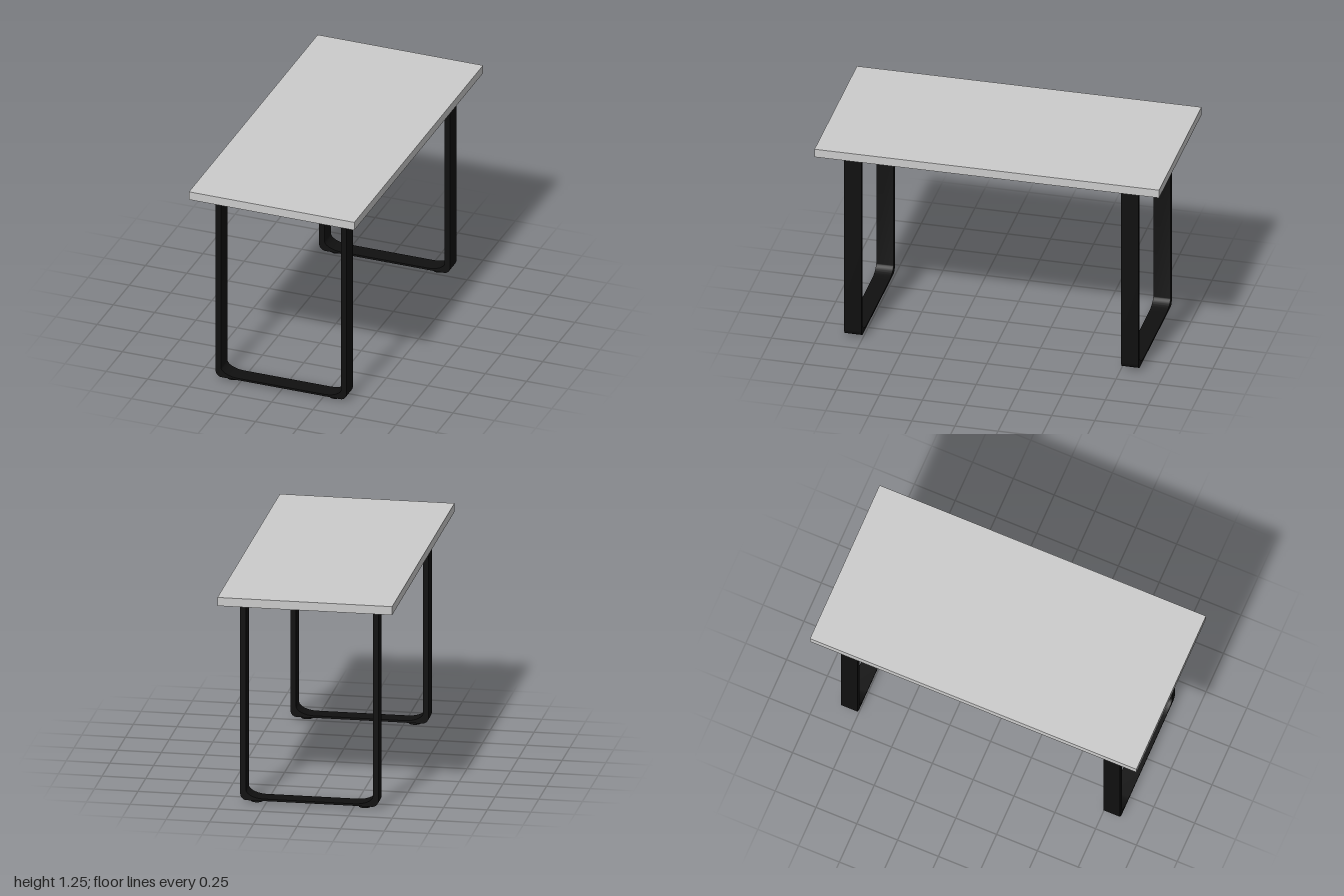
import * as THREE from 'three';
import { toCreasedNormals } from 'three/addons/utils/BufferGeometryUtils.js';

const grey = new THREE.MeshStandardMaterial({ color: 0xcccccc });
const black = new THREE.MeshStandardMaterial({ color: 0x101010 });

function addMesh(parent, name, geometry, material, x, y, z) {
  const mesh = new THREE.Mesh(geometry, material);
  mesh.name = name;
  mesh.position.set(x, y, z);
  parent.add(mesh);
}

// U-shaped flat bar with rounded outer corners and long elliptical inner corners
function legGeometry() {
  const outer = 0.396, inner = 0.364, top = 1.16, bottom = 0.015, floor = 0.027;
  const s = new THREE.Shape();
  s.moveTo(-outer, top);
  s.lineTo(-outer, 0.055);
  s.absellipse(-outer + 0.036, bottom + 0.04, 0.036, 0.04, Math.PI, Math.PI * 1.5, false);
  s.absellipse(outer - 0.036, bottom + 0.04, 0.036, 0.04, Math.PI * 1.5, Math.PI * 2, false);
  s.lineTo(outer, top);
  s.lineTo(inner, top);
  s.absellipse(inner - 0.105, floor + 0.052, 0.105, 0.052, 0, -Math.PI / 2, true);
  s.absellipse(-inner + 0.105, floor + 0.052, 0.105, 0.052, -Math.PI / 2, -Math.PI, true);
  s.lineTo(-inner, top);
  s.closePath();
  const geo = new THREE.ExtrudeGeometry(s, { depth: 0.1, bevelEnabled: false, curveSegments: 10 });
  geo.translate(0, 0, -0.05);
  return toCreasedNormals(geo, 0.6);
}

export function createModel() {
  const table = new THREE.Group();
  table.name = 'table';

  // Top board and the dark plate below it
  addMesh(table, 'tableTop', new THREE.BoxGeometry(1, 0.05, 2), grey, 0, 1.223, 0);
  addMesh(table, 'underPlate', new THREE.BoxGeometry(0.792, 0.04, 1.714), black, 0, 1.178, 0);

  // Front and back leg frames, each with two round feet
  const leg = legGeometry();
  const foot = new THREE.CylinderGeometry(0.034, 0.034, 0.016, 24);
  for (const [side, z] of [['front', 0.804], ['back', -0.804]]) {
    const frame = new THREE.Group();
    frame.name = side + 'LegFrame';
    frame.position.z = z;
    addMesh(frame, side + 'Leg', leg, black, 0, 0, 0);
    addMesh(frame, side + 'LeftFoot', foot, black, 0.309, 0.008, 0);
    addMesh(frame, side + 'RightFoot', foot, black, -0.309, 0.008, 0);
    table.add(frame);
  }
  return table;
}
